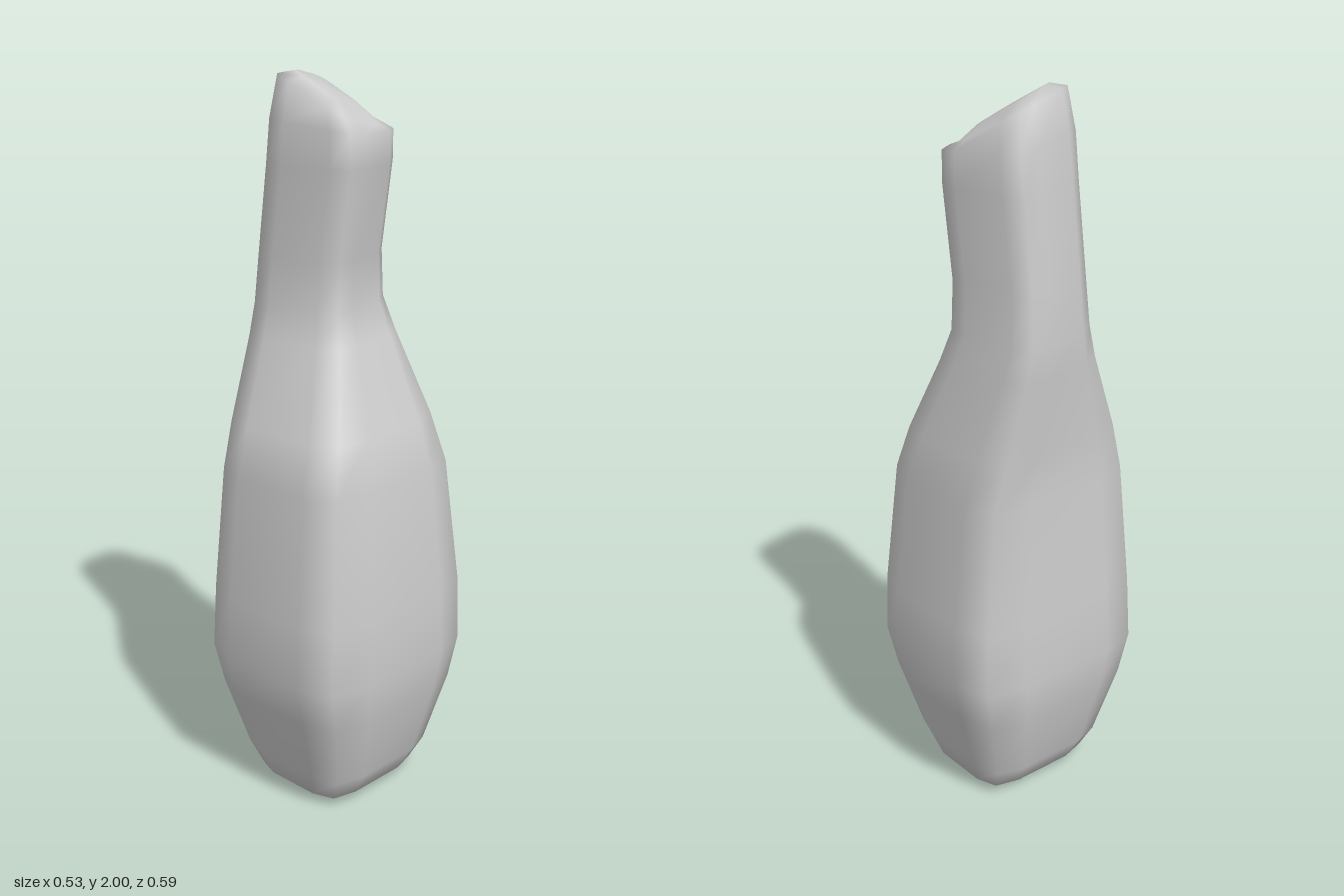
import * as THREE from 'three';

// Rounded-square outline, 12 points running from +x towards +z
const CORNER = [[1, 0.5], [0.88, 0.88], [0.5, 1]];
const OUTLINE = [];
for (let q = 0; q < 4; q++) {
  for (const [x, z] of CORNER) {
    let p = [x, z];
    for (let k = 0; k < q; k++) p = [-p[1], p[0]];
    OUTLINE.push(p);
  }
}

// Rings, bottom to top: y, xMin, xMax, zMin, zMax, turn in degrees, tilt
const RINGS = [
  [0.005, -0.09, 0.09, -0.1, 0.1, 0, 0],
  [0.03, -0.16, 0.16, -0.18, 0.18, 0, 0],
  [0.1, -0.2, 0.2, -0.205, 0.205, 0, 0],
  [0.3, -0.25, 0.25, -0.265, 0.265, 0, 0],
  [0.42, -0.265, 0.265, -0.293, 0.293, 0, 0],
  [0.6, -0.257, 0.263, -0.286, 0.286, 0, 0],
  [0.95, -0.24, 0.23, -0.262, 0.26, 2, 0],
  [1.08, -0.246, 0.19, -0.245, 0.225, 5, 0],
  [1.3, -0.268, 0.087, -0.21, 0.13, 10, 0],
  [1.39, -0.268, 0.055, -0.195, 0.108, 13, 0],
  [1.52, -0.258, 0.053, -0.19, 0.1, 14, 0],
  [1.76, -0.225, 0.09, -0.19, 0.1, 14, 0],
  [1.86, -0.207, 0.09, -0.187, 0.1, 14, 0.2],
  [1.92, -0.18, 0.055, -0.16, 0.083, 14, 0.9],
  [1.945, -0.135, 0.005, -0.115, 0.045, 14, 1],
];

// Turned outline stretched to fill the ring's bounds; tilt slopes it down to +x and -z
function ringPoints([y, x0, x1, z0, z1, turn, tilt]) {
  const a = THREE.MathUtils.degToRad(turn), c = Math.cos(a), s = Math.sin(a);
  const pts = OUTLINE.map(([x, z]) => [x * c + z * s, z * c - x * s]);
  const m = Math.max(...pts.map((p) => p[0]));
  return pts.map(([x, z]) => {
    const px = (x0 + x1) / 2 + (x / m) * (x1 - x0) / 2;
    const pz = (z0 + z1) / 2 + (z / m) * (z1 - z0) / 2;
    return [px, Math.min(2, y + tilt * (-0.5 * (px + 0.06) + 0.33 * (pz + 0.04))), pz];
  });
}

function loft(rings) {
  const n = OUTLINE.length, pos = [], idx = [];
  for (const r of rings) for (const p of ringPoints(r)) pos.push(...p);
  for (let i = 0; i < rings.length - 1; i++) {
    for (let j = 0; j < n; j++) {
      const a = i * n + j, b = i * n + (j + 1) % n;
      idx.push(a, a + n, b, b, a + n, b + n);
    }
  }
  // Closing fans
  const last = (rings.length - 1) * n, bottom = rings.length * n, top = bottom + 1;
  const t = rings[rings.length - 1];
  pos.push(0, 0, 0, (t[1] + t[2]) / 2, t[0] + 0.005, (t[3] + t[4]) / 2);
  for (let j = 0; j < n; j++) {
    const k = (j + 1) % n;
    idx.push(bottom, j, k, top, last + k, last + j);
  }
  const g = new THREE.BufferGeometry();
  g.setAttribute('position', new THREE.Float32BufferAttribute(pos, 3));
  g.setIndex(idx);
  g.computeVertexNormals();
  return g;
}

export function createModel() {
  const group = new THREE.Group();
  group.name = 'bentNeckClub';
  const body = new THREE.Mesh(loft(RINGS), new THREE.MeshStandardMaterial({ color: 0xcccccc }));
  body.name = 'body';
  group.add(body);
  return group;
}
